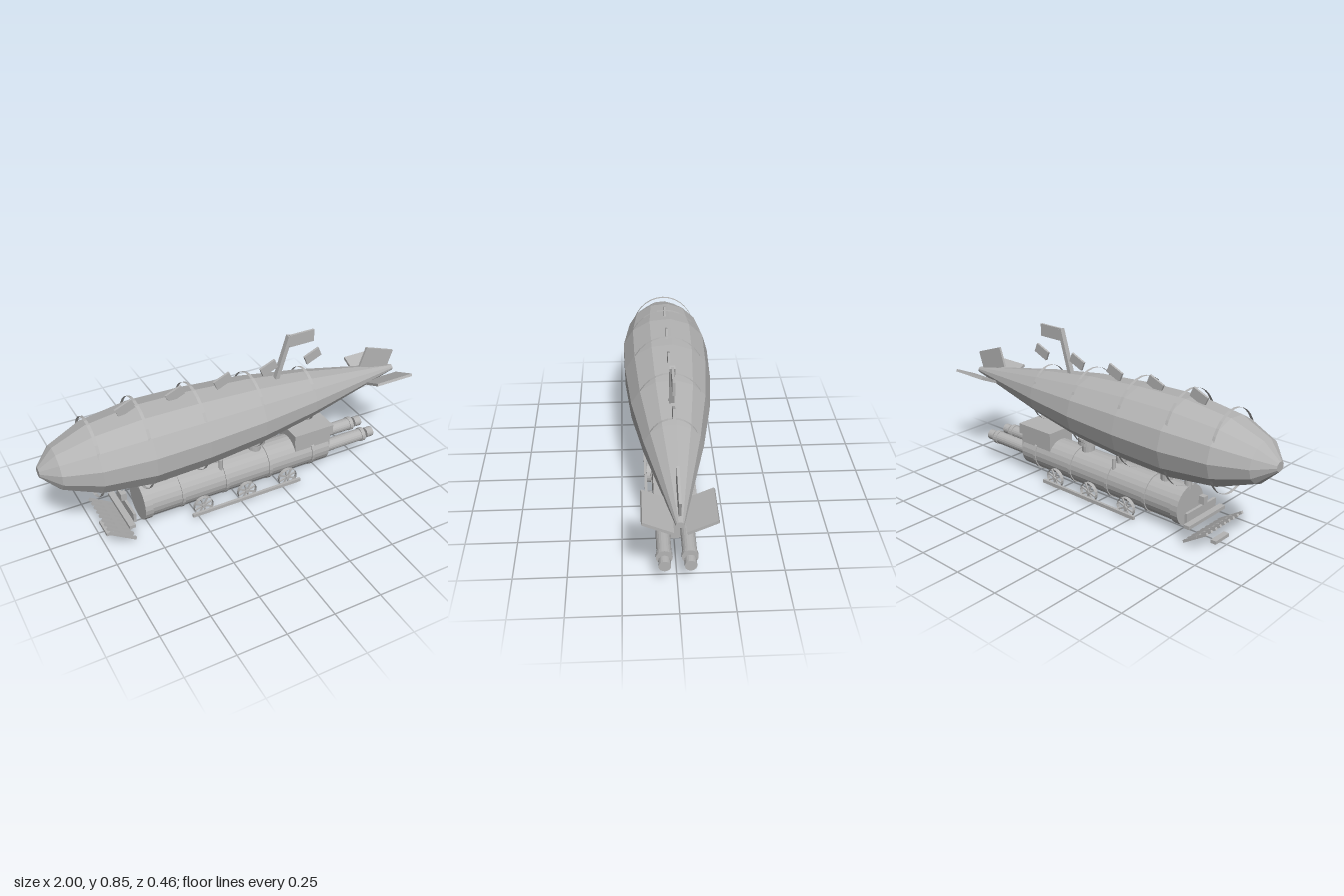
import * as THREE from 'three';

export function createModel() {
  const model = new THREE.Group();
  model.name = 'locomotiveAirship';
  const grey = new THREE.MeshStandardMaterial({ color: 0xb4b4b4, flatShading: true, side: THREE.DoubleSide });
  grey.name = 'plain grey';

  const add = (name, geometry, x, y, z, parent = model) => {
    const mesh = new THREE.Mesh(geometry, grey);
    mesh.name = name;
    mesh.position.set(x, y, z);
    parent.add(mesh);
    return mesh;
  };
  const box = (name, w, h, d, x, y, z, tilt = 0) => {
    const mesh = add(name, new THREE.BoxGeometry(w, h, d), x, y, z);
    mesh.rotation.z = tilt;
    return mesh;
  };
  // cylinder lying along x, from x0 to x1
  const barrel = (name, r, x0, x1, y, z, sides = 20) =>
    add(name, new THREE.CylinderGeometry(r, r, x1 - x0, sides).rotateZ(-Math.PI / 2), (x0 + x1) / 2, y, z);
  // upright cylinder, from y0 to y1
  const post = (name, r, x, y0, y1, z, sides = 16) =>
    add(name, new THREE.CylinderGeometry(r, r, y1 - y0, sides), x, (y0 + y1) / 2, z);

  // Thirteen-sided gas envelope
  const profile = [[0, -1], [0.028, -1], [0.12, -0.92], [0.196, -0.75], [0.231, -0.5], [0.224, -0.22],
    [0.196, 0.1], [0.142, 0.42], [0.018, 0.98], [0, 0.98]].map(([r, x]) => new THREE.Vector2(r, x));
  const hull = new THREE.LatheGeometry(profile, 13, Math.PI).rotateZ(-Math.PI / 2).scale(1, 0.855, 1);
  add('envelope', hull, 0, 0.482, 0);

  // Thin oval hoops standing proud above and below the envelope
  for (const [x, r] of [[-0.75, 0.207], [-0.51, 0.242], [-0.22, 0.234], [0.1, 0.205], [0.415, 0.15]]) {
    const hoop = new THREE.CylinderGeometry(r, r, 0.015, 32, 1, true).rotateZ(Math.PI / 2).scale(1, 1, 0.845);
    add('envelopeHoop', hoop, x, 0.482, 0);
  }

  // Tilted plates along the spine
  for (let i = 0; i < 5; i++) box('spinePlate', 0.09, 0.05, 0.012, -0.558 + i * 0.256, 0.695, 0, 0.4);

  // Leaning mast and flag
  box('mast', 0.022, 0.25, 0.026, 0.287, 0.727, 0, -0.29);
  box('flag', 0.14, 0.065, 0.012, 0.395, 0.816, 0);

  // Tail fins
  box('verticalFin', 0.185, 0.11, 0.012, 0.872, 0.568, 0, -0.33);
  for (const s of [-1, 1]) {
    const fin = box('sideFin', 0.22, 0.014, 0.141, 0.89, 0.482, s * 0.093);
    fin.rotation.x = -s * 0.425;
  }

  // Boiler with smokebox rim and straps
  const boilerY = 0.134;
  barrel('boiler', 0.097, -0.52, 0.545, boilerY, 0, 24);
  barrel('smokeboxRim', 0.105, -0.53, -0.488, boilerY, 0, 24);
  for (const x of [-0.318, -0.072, 0.184, 0.446]) barrel('boilerStrap', 0.103, x - 0.008, x + 0.008, boilerY, 0, 24);

  // Chimney, domes and valves on the boiler
  post('chimney', 0.018, -0.515, 0.22, 0.295, 0);
  post('sandDome', 0.031, -0.385, 0.21, 0.27, 0);
  add('sandDomeCap', new THREE.SphereGeometry(0.031, 16, 6, 0, Math.PI * 2, 0, Math.PI / 2), -0.385, 0.27, 0);
  post('steamDome', 0.026, -0.09, 0.22, 0.255, 0);
  add('steamDomeCap', new THREE.SphereGeometry(0.026, 16, 6, 0, Math.PI * 2, 0, Math.PI / 2), -0.09, 0.255, 0);
  for (const s of [-1, 1]) post('valve', 0.011, -0.09, 0.2, 0.265, s * 0.055, 10);
  barrel('steamPipe', 0.011, -0.1, 0.09, 0.285, 0, 10);
  post('turretNeck', 0.035, 0.137, 0.22, 0.268, 0);
  post('turret', 0.055, 0.137, 0.266, 0.303, 0, 20);
  post('turretKnob', 0.025, 0.137, 0.303, 0.322, 0);

  // Cab with overhanging roof and side lips
  box('cab', 0.215, 0.125, 0.168, 0.447, 0.217, 0);
  box('cabRoof', 0.235, 0.012, 0.19, 0.445, 0.284, 0);
  for (const s of [-1, 1]) box('cabRoofLip', 0.235, 0.055, 0.01, 0.445, 0.262, s * 0.09);

  // Twin rear thrusters
  for (const s of [-1, 1]) {
    barrel('thruster', 0.034, 0.53, 0.77, 0.136, s * 0.058);
    barrel('thrusterFlange', 0.038, 0.765, 0.787, 0.136, s * 0.058);
    barrel('thrusterTip', 0.028, 0.805, 0.845, 0.136, s * 0.058);
  }

  // Spoked wheels and coupling rods
  for (const s of [-1, 1]) {
    for (const x of [-0.217, 0.035, 0.28]) {
      const wheel = new THREE.Group();
      wheel.name = 'wheel';
      wheel.position.set(x, 0.055, s * 0.108);
      model.add(wheel);
      add('wheelRim', new THREE.CylinderGeometry(0.053, 0.053, 0.02, 20, 1, true).rotateX(Math.PI / 2), 0, 0, 0, wheel);
      add('wheelHub', new THREE.CylinderGeometry(0.011, 0.011, 0.022, 10).rotateX(Math.PI / 2), 0, 0, 0, wheel);
      for (let i = 0; i < 4; i++) {
        const spoke = add('wheelSpokes', new THREE.BoxGeometry(0.1, 0.007, 0.008), 0, 0, 0, wheel);
        spoke.rotation.z = i * Math.PI / 4 + 0.3;
      }
    }
    box('couplingRod', 0.635, 0.018, 0.014, 0.032, 0.025, s * 0.125);
  }

  // Front lamp, buffer beams and slatted guard
  box('frontLamp', 0.03, 0.04, 0.03, -0.605, 0.19, 0);
  box('frontPlate', 0.014, 0.052, 0.23, -0.592, 0.128, 0);
  box('bufferBeam', 0.032, 0.018, 0.29, -0.618, 0.104, 0);
  for (let i = -4; i <= 4; i++) box('guardSlat', 0.155, 0.013, 0.014, -0.67, 0.068, i * 0.0355, -0.58);
  box('guardBar', 0.03, 0.012, 0.3, -0.67, 0.068, 0, -0.58);
  box('guardStep', 0.03, 0.017, 0.108, -0.71, 0.022, 0);

  return model;
}
